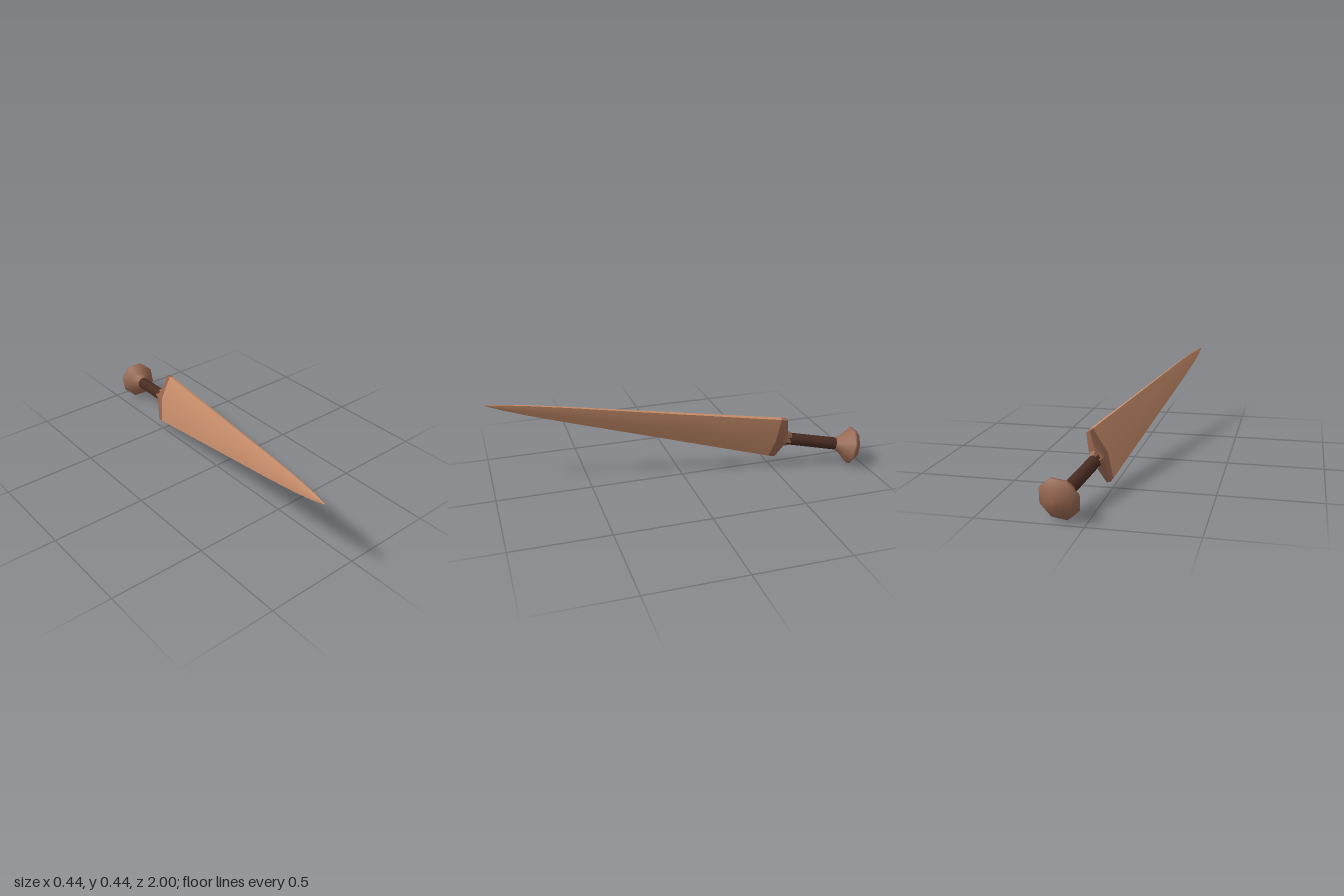
import * as THREE from 'three';
import { toCreasedNormals } from 'three/addons/utils/BufferGeometryUtils.js';

const material = (name, color) => {
  const m = new THREE.MeshStandardMaterial({ color });
  m.name = name;
  return m;
};

// Six-sided section: narrow flat edges at +-w, ridges at +-h. Rings are [y, w, e, h].
function loft(rings) {
  const points = [], index = [];
  for (const [y, w, e, h] of rings) {
    for (const [x, z] of [[w, -e], [w, e], [0, h], [-w, e], [-w, -e], [0, -h]]) points.push(x, y, z);
  }
  for (let j = 0; j < rings.length - 1; j++) {
    for (let i = 0; i < 6; i++) {
      const a = j * 6 + i, b = j * 6 + (i + 1) % 6, c = a + 6, d = b + 6;
      index.push(a, c, b, b, c, d);
    }
  }
  const g = new THREE.BufferGeometry();
  g.setAttribute('position', new THREE.Float32BufferAttribute(points, 3));
  g.setIndex(index);
  return toCreasedNormals(g, 0.6);
}

const lathe = (profile) => new THREE.LatheGeometry(profile.map(([r, y]) => new THREE.Vector2(r, y)), 8);

export function createModel() {
  const blade = material('pale copper wood', 0xc68c69);
  const fitting = material('brown wood', 0x96664f);
  const grip = material('dark grip', 0x4a2c22);

  const dagger = new THREE.Group();
  dagger.name = 'dagger';
  const add = (name, geometry, mat) => {
    const mesh = new THREE.Mesh(geometry, mat);
    mesh.name = name;
    dagger.add(mesh);
  };

  // Blade: straight taper that rounds in at the point
  const outline = [[0.013, 0.134], [0.55, 0.094], [1.165, 0.049], [1.37, 0.031], [1.49, 0.016], [1.575, 0.001]];
  add('blade', loft(outline.map(([y, w]) => [y, w, w > 0.01 ? 0.002 + 0.06 * w : 0.0005, w > 0.01 ? 0.003 + 0.25 * w : 0.001])), blade);

  // Guard: short collar drawn in to the grip
  add('guard', loft([
    [-0.075, 0.034, 0.014, 0.034],
    [-0.048, 0.045, 0.013, 0.035],
    [-0.022, 0.134, 0.01, 0.0365],
    [0.013, 0.134, 0.01, 0.0365],
  ]), fitting);

  // Eight-sided grip and flared pommel
  add('grip', lathe([[0.034, -0.35], [0.033, -0.05]]), grip);
  add('pommel', lathe([
    [0, -0.479], [0.035, -0.475], [0.076, -0.457], [0.102, -0.433],
    [0.103, -0.42], [0.068, -0.385], [0.046, -0.36], [0.034, -0.338],
  ]), fitting);

  // Lay the dagger along its slanted axis, edge turned upward
  const axis = new THREE.Vector3(-0.179, 0.177, 1).normalize();
  const edge = new THREE.Vector3(0.337, 0.936, -0.112);
  edge.addScaledVector(axis, -edge.dot(axis)).normalize();
  const flat = new THREE.Vector3().crossVectors(edge, axis);
  dagger.quaternion.setFromRotationMatrix(new THREE.Matrix4().makeBasis(edge, axis, flat));
  dagger.position.set(0.052, 0.177, -0.53);

  const model = new THREE.Group();
  model.name = 'model';
  model.add(dagger);
  return model;
}
